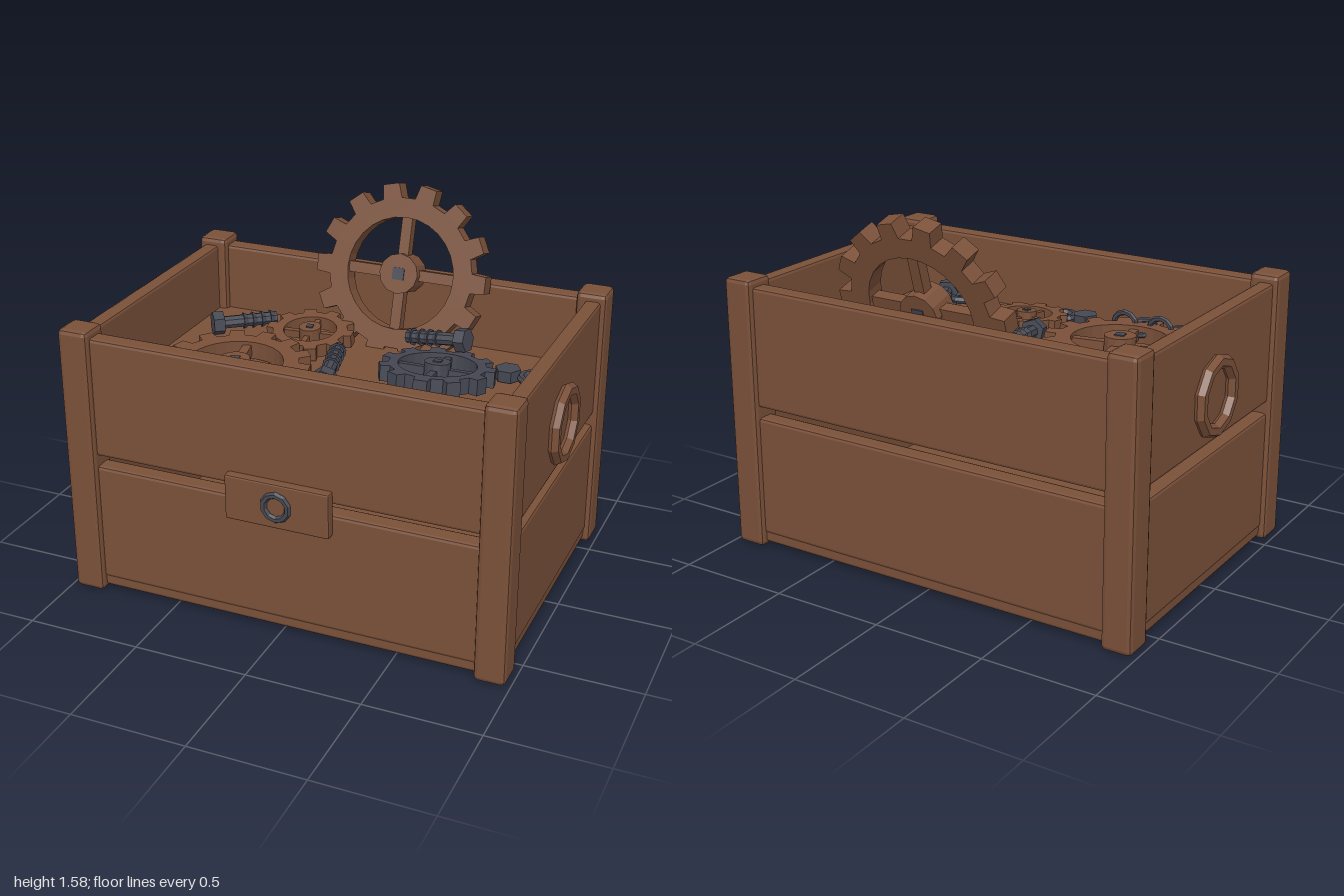
import * as THREE from 'three';
import { RoundedBoxGeometry } from 'three/addons/geometries/RoundedBoxGeometry.js';

const wood = new THREE.MeshStandardMaterial({ name: 'brown', color: 0x7a5039 });
const steel = new THREE.MeshStandardMaterial({ name: 'darkSteel', color: 0x454752 });

// Faceted normals for low-poly parts
function facet(geo) {
  const g = geo.index ? geo.toNonIndexed() : geo;
  g.computeVertexNormals();
  return g;
}

function add(parent, name, geo, mat, x = 0, y = 0, z = 0) {
  const mesh = new THREE.Mesh(facet(geo), mat);
  mesh.name = name;
  mesh.position.set(x, y, z);
  parent.add(mesh);
  return mesh;
}

// Bevelled board given by its min and max corners
function board(parent, name, mat, a, b, bevel = 0.014) {
  const s = a.map((v, i) => b[i] - v);
  const c = a.map((v, i) => (b[i] + v) / 2);
  return add(parent, name, new RoundedBoxGeometry(...s, 1, bevel), mat, ...c);
}

// Toothed wheel with four spokes, facing +z
function gear(name, mat, r, hole, hub, teeth, thick) {
  const g = new THREE.Group();
  g.name = name;
  const root = r * 0.84, pitch = (Math.PI * 2) / teeth;
  const shape = new THREE.Shape();
  for (let i = 0; i < teeth; i++) {
    const mid = Math.PI / 2 + (i + 0.5) * pitch;
    [[-0.29, root], [-0.21, r], [0.21, r], [0.29, root]].forEach(([f, rad], k) => {
      const x = Math.cos(mid + f * pitch) * rad, y = Math.sin(mid + f * pitch) * rad;
      if (i + k === 0) shape.moveTo(x, y); else shape.lineTo(x, y);
    });
  }
  shape.closePath();
  shape.holes.push(new THREE.Path().absarc(0, 0, hole, 0, Math.PI * 2, true));
  const rim = new THREE.ExtrudeGeometry(shape, { depth: thick, bevelEnabled: false, curveSegments: 14 });
  add(g, 'rim', rim.translate(0, 0, -thick / 2), mat);
  for (let i = 0; i < 4; i++) {
    const len = hole - hub * 0.6 + 0.01;
    const geo = new THREE.BoxGeometry(r * 0.12, len, thick * 0.6).translate(0, hub * 0.6 + len / 2, 0);
    add(g, 'spoke', geo, mat).rotation.z = (i * Math.PI) / 2;
  }
  add(g, 'hub', new THREE.CylinderGeometry(hub, hub, thick * 1.4, 12).rotateX(Math.PI / 2), mat);
  add(g, 'axle', new THREE.BoxGeometry(hub * 0.6, hub * 0.6, thick * 1.4 + 0.01), steel);
  return g;
}

// Bolt lying from head to tip
function bolt(head, tip) {
  const g = new THREE.Group();
  g.name = 'bolt';
  const a = new THREE.Vector3(...head), b = new THREE.Vector3(...tip);
  const len = a.distanceTo(b);
  add(g, 'head', new THREE.CylinderGeometry(0.055, 0.055, 0.05, 6), steel);
  add(g, 'shaft', new THREE.CylinderGeometry(0.029, 0.029, len, 8), steel, 0, len / 2, 0);
  for (let i = 0; i < 4; i++) {
    add(g, 'thread', new THREE.CylinderGeometry(0.028, 0.04, 0.022, 8), steel, 0, len - 0.02 - i * 0.042, 0);
  }
  g.position.copy(a);
  g.quaternion.setFromUnitVectors(new THREE.Vector3(0, 1, 0), b.sub(a).normalize());
  return g;
}

export function createModel() {
  const model = new THREE.Group();
  model.name = 'crateOfParts';

  // Crate: base, corner posts, two rows of planks
  const crate = new THREE.Group();
  crate.name = 'crate';
  model.add(crate);
  board(crate, 'base', wood, [-0.95, 0.02, -0.67], [0.95, 0.08, 0.645]);
  for (const s of [-1, 1]) {
    const x0 = s > 0 ? 0.845 : -0.98;
    board(crate, 'frontPost', wood, [x0, 0.005, 0.54], [x0 + 0.135, 1.215, 0.68], 0.02);
    board(crate, 'backPost', wood, [x0, 0.005, -0.7], [x0 + 0.135, 1.215, -0.56], 0.02);
    for (const [y0, y1] of [[0.065, 0.6], [0.65, 1.18]]) {
      const px = s > 0 ? 0.885 : -0.955;
      board(crate, 'sidePlank', wood, [px, y0, -0.62], [px + 0.07, y1, 0.6]);
      const z0 = s > 0 ? 0.565 : -0.675;
      board(crate, s > 0 ? 'frontPlank' : 'backPlank', wood, [-0.9, y0, z0], [0.9, y1, z0 + 0.085]);
    }
    // Ring handles
    const ring = new THREE.TorusGeometry(0.147, 0.03, 6, 10).rotateZ(Math.PI / 10).rotateY(Math.PI / 2);
    add(crate, 'ringHandle', ring, wood, s * 0.97, 0.855, -0.01);
  }

  // Latch plate with its ring
  board(crate, 'latchPlate', wood, [-0.23, 0.51, 0.645], [0.23, 0.71, 0.69], 0.008);
  add(crate, 'latchRing', new THREE.TorusGeometry(0.055, 0.015, 6, 10).rotateZ(Math.PI / 10), steel, 0, 0.61, 0.693);

  // Shelf that carries the loose parts
  add(crate, 'shelf', new THREE.BoxGeometry(1.8, 0.2, 1.17), wood, 0, 0.77, -0.005);

  // Large gear leaning on the back wall
  const leaning = gear('leaningGear', wood, 0.4, 0.25, 0.09, 14, 0.085);
  leaning.position.set(0.055, 1.19, -0.54);
  leaning.rotation.x = -0.29;
  model.add(leaning);

  // Gears lying on the shelf: name, material, radii, teeth, thickness, position, spin, tilt
  const lying = [
    ['bigGear', wood, 0.33, 0.21, 0.07, 14, 0.08, [-0.44, 0.915, 0.16], 0.2, 0.03],
    ['smallBackGear', wood, 0.2, 0.12, 0.05, 10, 0.06, [-0.295, 0.925, -0.305], 0.1, 0.08],
    ['smallFrontGear', wood, 0.185, 0.115, 0.045, 10, 0.06, [0.115, 0.91, 0.305], -0.15, 0.05],
    ['steelGear', steel, 0.25, 0.17, 0.058, 11, 0.07, [0.375, 0.93, -0.13], 0.05, -0.12],
  ];
  for (const [name, mat, r, hole, hub, teeth, thick, pos, spin, tilt] of lying) {
    const g = gear(name, mat, r, hole, hub, teeth, thick);
    g.position.set(...pos);
    g.rotation.set(-Math.PI / 2 + tilt, 0, spin);
    model.add(g);
  }

  // Bolts
  model.add(
    bolt([-0.745, 0.92, -0.275], [-0.53, 0.92, -0.445]),
    bolt([-0.035, 0.93, 0.125], [-0.085, 0.96, -0.145]),
    bolt([0.405, 0.99, -0.37], [0.135, 0.95, -0.405]),
    bolt([0.645, 0.92, 0.45], [0.525, 0.92, 0.215]),
  );

  // Nuts, each with a washer ring beside it
  for (const [x, z] of [[0.635, -0.305], [-0.09, 0.475], [0.455, 0.475]]) {
    add(model, 'nut', new THREE.CylinderGeometry(0.057, 0.057, 0.05, 6).rotateY(Math.PI / 6), steel, x, 0.9, z);
    add(model, 'washer', new THREE.TorusGeometry(0.053, 0.018, 6, 12).rotateX(Math.PI / 2), steel, x + 0.115, 0.895, z);
  }

  // Chain of links, alternately flat and upright
  for (let i = 0; i < 6; i++) {
    const link = add(model, 'chainLink', new THREE.TorusGeometry(0.055, 0.013, 6, 12), steel, -0.76 + i * 0.087, 0.93, 0.415);
    link.rotation.x = i % 2 ? 0 : Math.PI / 2 - i * 0.1;
  }
  return model;
}
